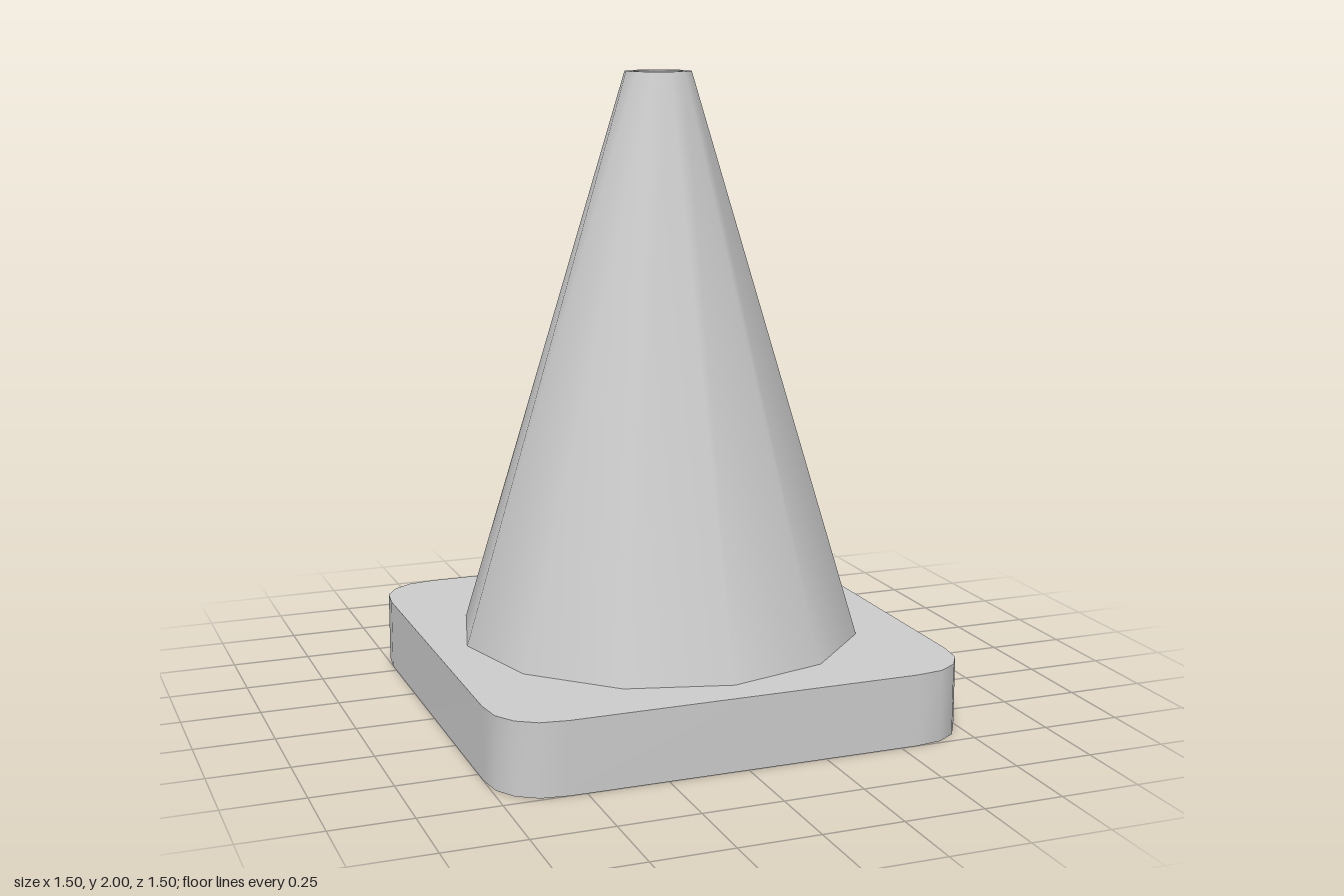
import * as THREE from 'three';

const SIDES = 12, BASE_TOP = 0.225, HEIGHT = 2;

// Outline of the base: one rounded corner turned through four quarters
function baseOutline() {
  const corner = [[0.75, 0.55], [0.738, 0.637], [0.699, 0.699], [0.637, 0.738], [0.55, 0.75]];
  const points = [];
  for (let q = 0; q < 4; q++) {
    for (const [x, y] of corner) {
      points.push(new THREE.Vector2(x, y).rotateAround(new THREE.Vector2(), q * Math.PI / 2));
    }
  }
  return points;
}

// Smooth vertical skirt following the outline
function skirtGeometry(outline, height) {
  const positions = [], index = [], n = outline.length;
  outline.forEach((p, i) => {
    positions.push(p.x, 0, -p.y, p.x, height, -p.y);
    const a = 2 * i, b = 2 * ((i + 1) % n);
    index.push(a, b, b + 1, a, b + 1, a + 1);
  });
  const geometry = new THREE.BufferGeometry();
  geometry.setAttribute('position', new THREE.Float32BufferAttribute(positions, 3));
  geometry.setIndex(index);
  geometry.computeVertexNormals();
  return geometry;
}

export function createModel() {
  const model = new THREE.Group();
  model.name = 'trafficCone';
  const grey = new THREE.MeshStandardMaterial({ color: 0xcccccc, side: THREE.DoubleSide });
  grey.name = 'lightGrey';

  const add = (name, geometry, y = 0) => {
    const mesh = new THREE.Mesh(geometry, grey);
    mesh.name = name;
    mesh.position.y = y;
    model.add(mesh);
    return mesh;
  };

  // Hollow base, open underneath
  const outline = baseOutline();
  add('baseSkirt', skirtGeometry(outline, BASE_TOP));
  add('baseTop', new THREE.ShapeGeometry(new THREE.Shape(outline)).rotateX(-Math.PI / 2), BASE_TOP);

  // Tapered body
  const length = HEIGHT - BASE_TOP, middle = BASE_TOP + length / 2;
  add('coneBody', new THREE.CylinderGeometry(0.105, 0.64, length, SIDES, 1, true), middle);

  // Flat rim and the straight bore running down to the base
  const rim = new THREE.RingGeometry(0.078, 0.105, SIDES).rotateX(-Math.PI / 2);
  add('rim', rim, HEIGHT);
  add('bore', new THREE.CylinderGeometry(0.078, 0.078, length, SIDES, 1, true), middle);

  return model;
}
